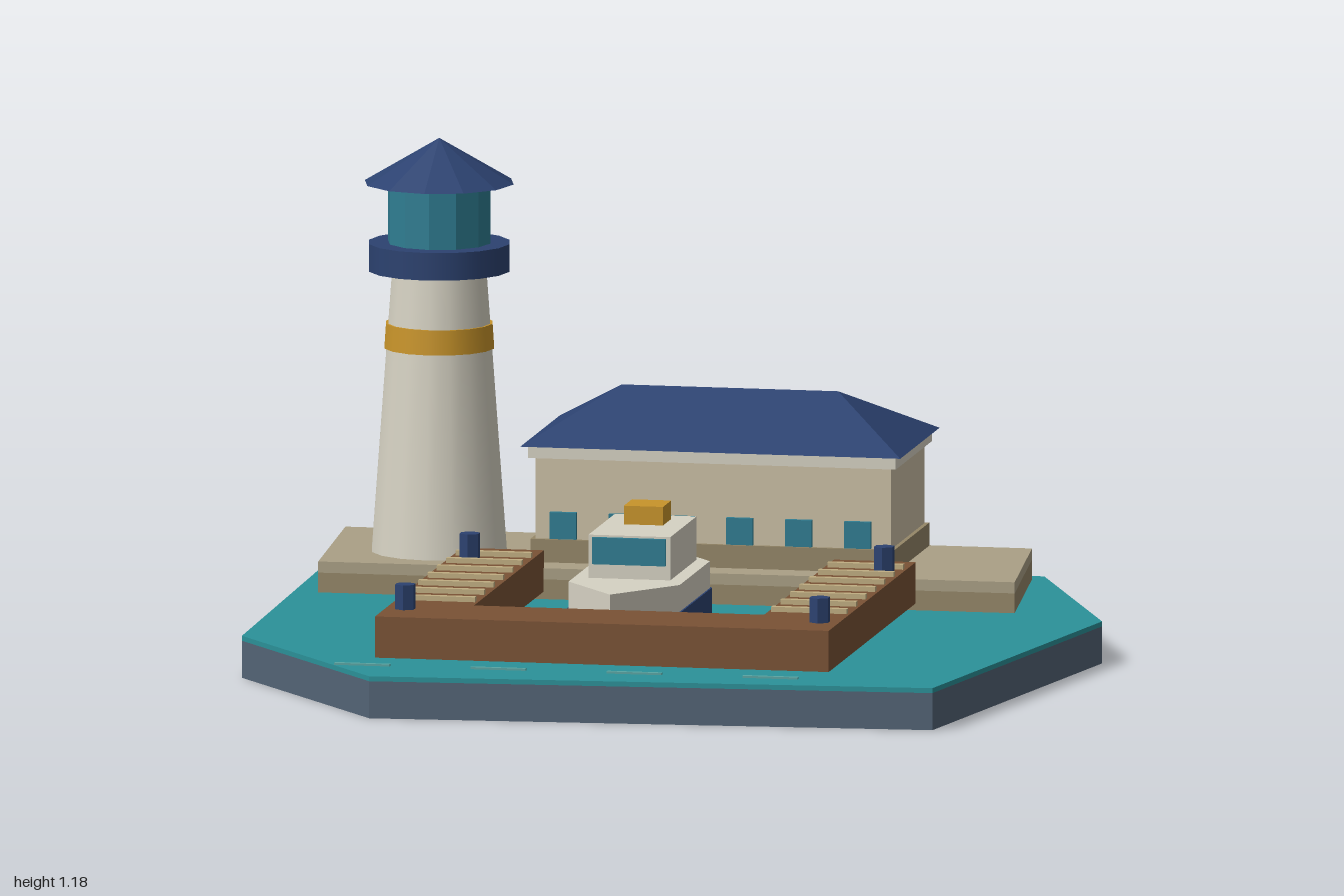
import * as THREE from 'three';

const mats = {};
function mat(color, flat = true) {
  const key = color + '_' + flat;
  return (mats[key] ??= new THREE.MeshStandardMaterial({ color, flatShading: flat }));
}
const NAVY = 0x2c4270, TEAL = 0x2f7d92, WATER = 0x2b9299, GOLD = 0xc8942a, CREAM = 0xd6d2c3,
  WALL = 0xcbbfa5, STONE = 0xaaa086, BAND = 0x958768, WOOD = 0x7a5235, SLATE = 0x536476, PLANK = 0xc0ae82;

function add(parent, name, geo, color, x = 0, y = 0, z = 0, flat = true) {
  const m = new THREE.Mesh(geo, mat(color, flat));
  m.name = name;
  m.position.set(x, y, z);
  parent.add(m);
  return m;
}

// box given by its ranges along x, y and z
function block(parent, name, color, x0, x1, y0, y1, z0, z1) {
  return add(parent, name, new THREE.BoxGeometry(x1 - x0, y1 - y0, z1 - z0), color,
    (x0 + x1) / 2, (y0 + y1) / 2, (z0 + z1) / 2);
}

// upright prism over an outline of [x, z] corners
function prism(parent, name, color, outline, y0, y1) {
  const shape = new THREE.Shape(outline.map(([x, z]) => new THREE.Vector2(x, -z)));
  const geo = new THREE.ExtrudeGeometry(shape, { depth: y1 - y0, bevelEnabled: false });
  geo.rotateX(-Math.PI / 2);
  return add(parent, name, geo, color, 0, y0, 0);
}

function group(parent, name) {
  const g = new THREE.Group();
  g.name = name;
  parent.add(g);
  return g;
}

function buildGround(root) {
  const g = group(root, 'ground');
  const shore = [[-1, -0.89], [0.73, -0.9], [1, -0.26], [0.8, 0.81], [-0.56, 0.9], [-0.98, 0.36]];
  prism(g, 'base', SLATE, shore, 0, 0.09);
  prism(g, 'water', WATER, shore, 0.09, 0.102);
  const quay = [[-0.97, -0.85], [0.71, -0.85], [0.77, -0.34], [-0.93, -0.32]];
  prism(g, 'quayBody', BAND, quay, 0.102, 0.15);
  prism(g, 'quayTop', STONE, quay, 0.15, 0.177);
  // ripples hovering just over the water
  for (let i = 0; i < 4; i++)
    add(g, 'ripple', new THREE.BoxGeometry(0.135, 0.005, 0.012), 0x5aa5a3, -0.595 + i * 0.333, 0.116, 0.81);
}

function buildLighthouse(root) {
  const g = group(root, 'lighthouse');
  g.position.set(-0.68, 0, -0.55);
  const ring = (name, color, rTop, rBottom, y0, y1, sides, flat) =>
    add(g, name, new THREE.CylinderGeometry(rTop, rBottom, y1 - y0, sides), color, 0, (y0 + y1) / 2, 0, flat);
  ring('tower', CREAM, 0.115, 0.165, 0.177, 0.86, 16, false);
  ring('towerStripe', GOLD, 0.13, 0.134, 0.67, 0.73, 16, false);
  ring('gallery', NAVY, 0.172, 0.172, 0.858, 0.925, 16, false);
  ring('lantern', TEAL, 0.125, 0.125, 0.925, 1.07, 12, true);
  add(g, 'lanternRoof', new THREE.ConeGeometry(0.182, 0.108, 12), NAVY, 0, 1.124, 0);
}

function buildHouse(root) {
  const g = group(root, 'harbourHouse');
  block(g, 'plinth', BAND, -0.43, 0.46, 0.177, 0.233, -0.845, -0.415);
  block(g, 'walls', WALL, -0.42, 0.45, 0.233, 0.43, -0.835, -0.425);
  block(g, 'eaves', CREAM, -0.435, 0.465, 0.43, 0.46, -0.85, -0.41);

  // hipped roof: top corners of a box pulled in to a ridge
  const geo = new THREE.BoxGeometry(0.93, 0.12, 0.48);
  const p = geo.attributes.position;
  for (let i = 0; i < p.count; i++)
    if (p.getY(i) > 0) p.setXYZ(i, Math.sign(p.getX(i)) * 0.265, 0.06, 0);
  geo.computeVertexNormals();
  add(g, 'hipRoof', geo, NAVY, 0.015, 0.52, -0.63);

  // windows along front and back
  for (let i = 0; i < 6; i++)
    for (const z of [-0.423, -0.837])
      add(g, 'window', new THREE.BoxGeometry(0.065, 0.065, 0.022), TEAL, -0.35 + i * 0.144, 0.267, z);
}

function buildDock(root) {
  const g = group(root, 'dock');
  block(g, 'frontPier', WOOD, -0.58, 0.53, 0.12, 0.22, 0.52, 0.73);
  for (const side of [-1, 1]) {
    const x = -0.025 + side * 0.455;
    block(g, 'sidePier', WOOD, x - 0.1, x + 0.1, 0.12, 0.22, -0.33, 0.52);
    for (let i = 0; i < 7; i++)
      add(g, 'plank', new THREE.BoxGeometry(0.185, 0.014, 0.018), PLANK, x, 0.225, -0.22 + i * 0.114);
    for (const z of [-0.185, 0.6])
      add(g, 'bollard', new THREE.CylinderGeometry(0.026, 0.026, 0.06, 6), NAVY, -0.025 + side * 0.507, 0.25, z);
  }
}

function buildBoat(root) {
  const g = group(root, 'boat');
  g.position.set(-0.05, 0, 0.15);
  const hull = (s) => [[0, -0.37], [0.14, -0.19], [0.14, 0.19], [0, 0.37], [-0.14, 0.19], [-0.14, -0.19]]
    .map(([x, z]) => [x * s, z * s]);
  prism(g, 'hull', NAVY, hull(1), 0.1, 0.19);
  prism(g, 'deck', CREAM, hull(0.97), 0.19, 0.255);
  block(g, 'cabin', CREAM, -0.1, 0.1, 0.255, 0.36, -0.2, 0.12);
  block(g, 'cabinWindow', TEAL, -0.09, 0.09, 0.29, 0.355, 0.115, 0.13);
  block(g, 'cabinTopBox', GOLD, -0.048, 0.048, 0.36, 0.405, -0.15, -0.05);
}

export function createModel() {
  const root = new THREE.Group();
  root.name = 'harbour';
  buildGround(root);
  buildLighthouse(root);
  buildHouse(root);
  buildDock(root);
  buildBoat(root);
  return root;
}
